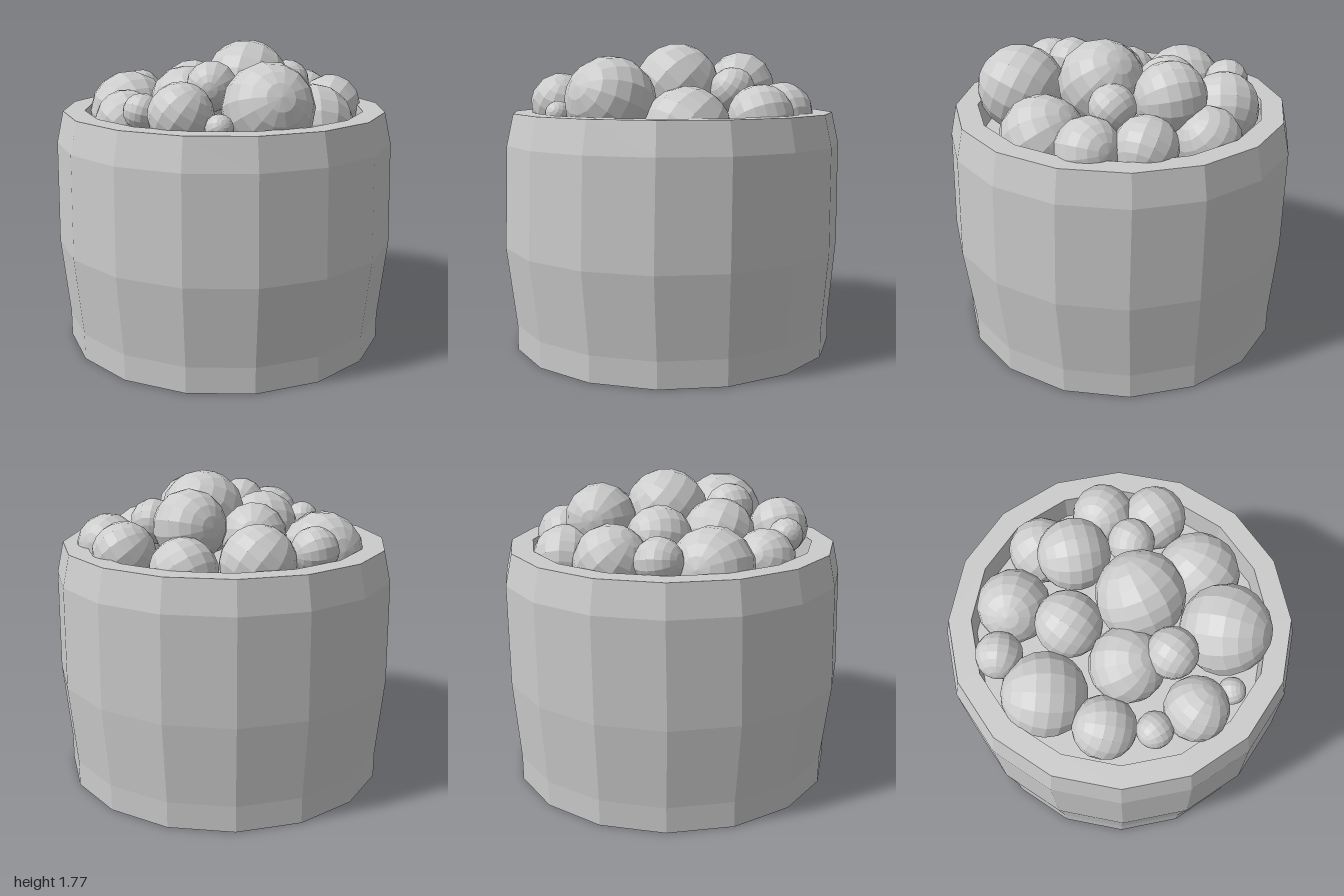
import * as THREE from 'three';

const material = new THREE.MeshStandardMaterial({ color: 0xcccccc, flatShading: true });

// Small seeded generator for the turn of each ball
function seeded(seed) {
  return () => (seed = (seed * 16807) % 2147483647) / 2147483647;
}

// Sixteen-sided bulging tub with a thick rim and a sunken floor
function makeTub() {
  const profile = [
    [0, 0], [0.945, 0], [0.945, 0.15], [0.99, 0.61], [0.98, 1.2], [0.94, 1.38],
    [0.815, 1.38], [0.81, 1.2], [0, 1.2],
  ].map(([r, y]) => new THREE.Vector2(r, y));
  const geometry = new THREE.LatheGeometry(profile, 16);
  // The belly sits slightly forward of the base and the rim
  const pos = geometry.attributes.position;
  for (let i = 0; i < pos.count; i++) {
    const shift = Math.abs(pos.getY(i) - 0.61) < 0.01 ? 0 : -0.011;
    pos.setZ(i, pos.getZ(i) * 1.01 + shift);
  }
  geometry.computeVertexNormals();
  const tub = new THREE.Mesh(geometry, material);
  tub.name = 'tub';
  return tub;
}

// Heaped balls: x, y, z, radius
const BALLS = [
  [0.12, 1.53, 0.06, 0.245], [0.14, 1.45, 0.55, 0.25], [0.21, 1.53, -0.37, 0.20],
  [0.46, 1.30, 0.28, 0.24], [0.67, 1.37, -0.07, 0.18], [0.41, 1.51, -0.11, 0.13],
  [0.57, 1.38, -0.35, 0.175], [0.25, 1.33, -0.60, 0.185], [-0.14, 1.37, -0.59, 0.205],
  [-0.15, 1.45, -0.25, 0.185], [-0.24, 1.43, 0.13, 0.21], [-0.54, 1.34, -0.23, 0.235],
  [-0.45, 1.42, -0.53, 0.13], [-0.585, 1.34, 0.14, 0.175], [-0.52, 1.43, 0.40, 0.10],
  [-0.33, 1.43, 0.56, 0.175], [-0.13, 1.55, 0.34, 0.14], [-0.15, 1.38, 0.70, 0.075],
];

function makeBalls() {
  const balls = new THREE.Group();
  balls.name = 'balls';
  const geometry = new THREE.SphereGeometry(1, 14, 10);
  const random = seeded(4711);
  for (const [x, y, z, r] of BALLS) {
    const ball = new THREE.Mesh(geometry, material);
    ball.name = 'ball';
    ball.position.set(x, y, z);
    ball.scale.setScalar(r * 1.01);
    ball.rotation.set(random() * 6.28, random() * 6.28, random() * 6.28);
    balls.add(ball);
  }
  return balls;
}

export function createModel() {
  const model = new THREE.Group();
  model.name = 'tubOfBalls';
  model.add(makeTub(), makeBalls());
  return model;
}
